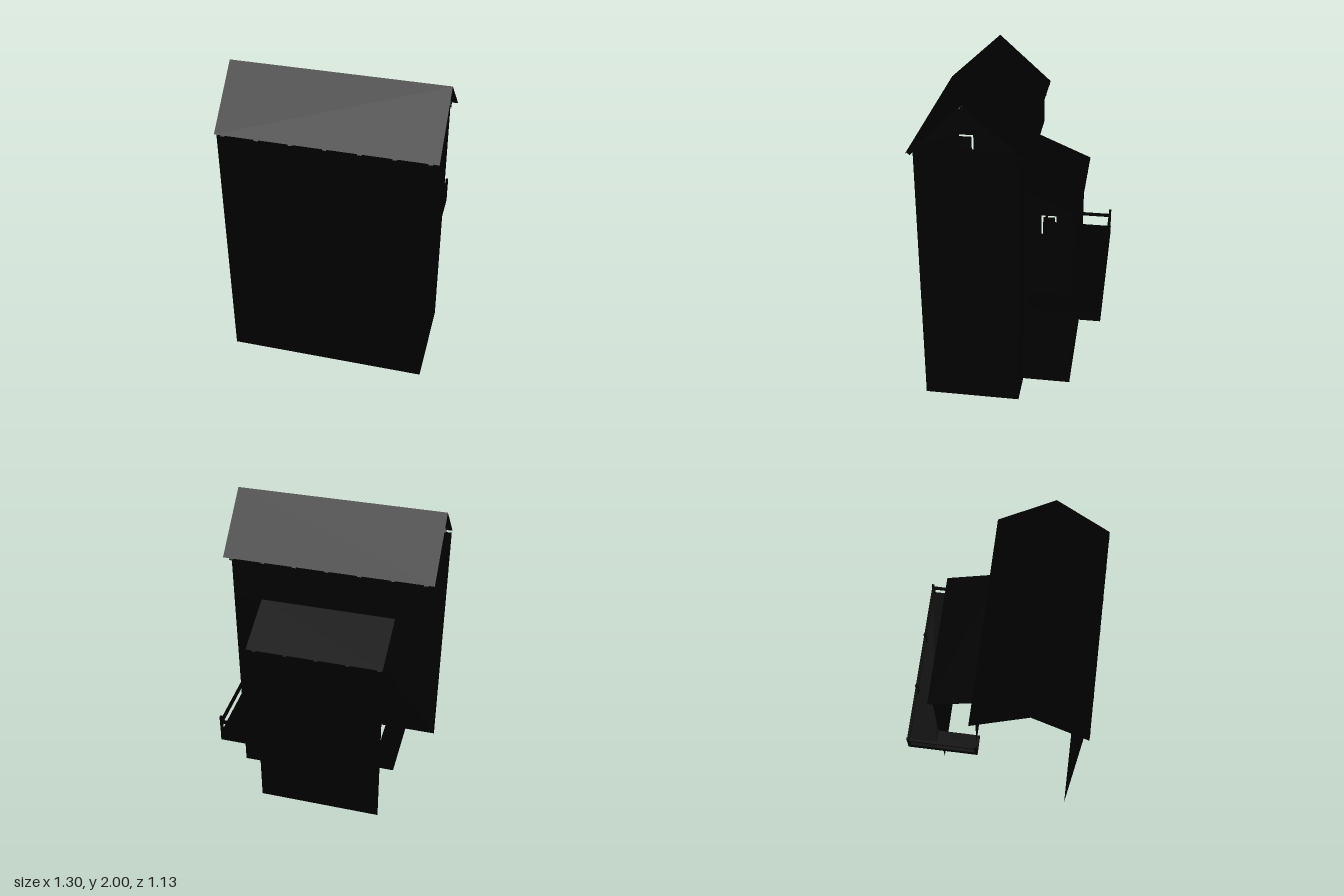
import * as THREE from 'three';

export function createModel() {
  const model = new THREE.Group();
  model.name = 'house';
  const black = new THREE.MeshStandardMaterial({ color: 0x000000, side: THREE.DoubleSide });
  black.name = 'soot black';

  const add = (name, geometry, parent = model) => {
    const mesh = new THREE.Mesh(geometry, black);
    mesh.name = name;
    parent.add(mesh);
    return mesh;
  };
  const group = (name) => {
    const g = new THREE.Group();
    g.name = name;
    model.add(g);
    return g;
  };
  // Box given by its limits on each axis
  const box = (name, x0, x1, y0, y1, z0, z1, parent) =>
    add(name, new THREE.BoxGeometry(x1 - x0, y1 - y0, z1 - z0), parent)
      .position.set((x0 + x1) / 2, (y0 + y1) / 2, (z0 + z1) / 2);
  // Square timber between two points
  const beam = (name, a, b, t, parent) => {
    const from = new THREE.Vector3(...a), to = new THREE.Vector3(...b);
    const mesh = add(name, new THREE.BoxGeometry(t, t, from.distanceTo(to)), parent);
    mesh.position.copy(from).lerp(to, 0.5);
    mesh.lookAt(to);
  };
  // Thin upright wall facing along z
  const wall = (name, x0, x1, y0, y1, z) =>
    add(name, new THREE.PlaneGeometry(x1 - x0, y1 - y0))
      .position.set((x0 + x1) / 2, (y0 + y1) / 2, z);
  // Thin wall facing +x from a (z, y) outline, with a slit around its window
  const sideWall = (name, x, outline, [z0, z1, y0, y1]) => {
    const v = (p) => new THREE.Vector2(...p);
    const shape = new THREE.Shape(outline.map(v));
    const s = 0.01;
    shape.holes.push(new THREE.Path([
      [z0, y0], [z0, y1], [z1, y1], [z1, y0],
      [z1 - s, y0], [z1 - s, y1 - s], [z0 + s, y1 - s], [z0 + s, y0],
    ].map(v)));
    const geometry = new THREE.ShapeGeometry(shape);
    geometry.rotateY(-Math.PI / 2);
    add(name, geometry).position.x = x;
  };
  // Sloping thin roof sheet between two (z, y) edges
  const roof = (name, x0, x1, [za, ya], [zb, yb]) => {
    const g = new THREE.PlaneGeometry(x1 - x0, Math.hypot(zb - za, yb - ya));
    g.rotateX(-Math.PI / 2);
    g.rotateX(Math.atan2(-(yb - ya), zb - za));
    add(name, g).position.set((x0 + x1) / 2, (ya + yb) / 2, (za + zb) / 2);
  };

  // Tower walls; the -x end is left open
  wall('frontWall', -0.65, 0.61, 0, 1.7, 0.53);
  wall('towerUpperBackWall', -0.65, 0.61, 1.4, 1.71, -0.07);
  wall('towerLowerBackWall', 0.39, 0.61, 0, 1.4, -0.07);
  sideWall('towerGable', 0.61,
    [[-0.07, 0], [0.53, 0], [0.53, 1.72], [0.23, 1.99], [-0.07, 1.72]],
    [0.18, 0.275, 1.73, 1.815]);

  // Lean-to walls
  wall('leanToBackWall', -0.42, 0.39, 0, 1.25, -0.375);
  sideWall('leanToSideWall', 0.39,
    [[-0.375, 0], [-0.07, 0], [-0.07, 1.395], [-0.375, 1.265]],
    [-0.27, -0.18, 1.1, 1.225]);

  // Roof sheets
  roof('frontRoof', -0.65, 0.65, [0.23, 2], [0.565, 1.695]);
  roof('backRoof', -0.65, 0.65, [0.23, 2], [-0.11, 1.695]);
  roof('leanToRoof', -0.42, 0.43, [-0.07, 1.4], [-0.41, 1.255]);

  // Rafter tails under the eaves
  const rafters = group('rafterTails');
  for (let i = 0; i < 7; i++) {
    const x = -0.6 + i * 0.2;
    beam('frontRafterTail', [x, 1.71, 0.53], [x, 1.68, 0.557], 0.025, rafters);
    beam('backRafterTail', [x, 1.71, -0.07], [x, 1.68, -0.102], 0.025, rafters);
  }
  for (let i = 0; i < 5; i++) {
    const x = -0.4 + i * 0.195;
    beam('leanToRafterTail', [x, 1.25, -0.37], [x, 1.235, -0.405], 0.025, rafters);
  }

  // Balcony deck wrapping the lean-to
  const balcony = group('balcony');
  box('backDeck', -0.54, 0.575, 0.625, 0.68, -0.565, -0.375, balcony);
  box('rightDeck', 0.39, 0.575, 0.625, 0.68, -0.375, -0.1, balcony);
  box('leftDeck', -0.54, -0.42, 0.625, 0.68, -0.375, -0.1, balcony);

  // Railing posts and rails
  const post = (x, z) =>
    box('railPost', x - 0.008, x + 0.008, 0.625, 0.81, z - 0.008, z + 0.008, balcony);
  for (let i = 0; i < 4; i++) post(-0.532 + i * 0.3663, -0.555);
  beam('backRail', [-0.532, 0.767, -0.555], [0.567, 0.767, -0.555], 0.017, balcony);
  for (const x of [-0.532, 0.567]) {
    post(x, -0.11);
    beam('sideRail', [x, 0.767, -0.555], [x, 0.767, -0.1], 0.017, balcony);
  }

  // Brackets carrying the deck
  for (const x of [-0.37, 0.35]) {
    box('bracketPost', x - 0.017, x + 0.017, 0.415, 0.63, -0.41, -0.375, balcony);
    beam('bracketBrace', [x, 0.52, -0.4], [x, 0.635, -0.52], 0.025, balcony);
  }
  box('sideBracketPost', 0.39, 0.425, 0.415, 0.63, -0.13, -0.1, balcony);
  beam('sideBracketBrace', [0.415, 0.52, -0.115], [0.535, 0.635, -0.115], 0.025, balcony);

  return model;
}
